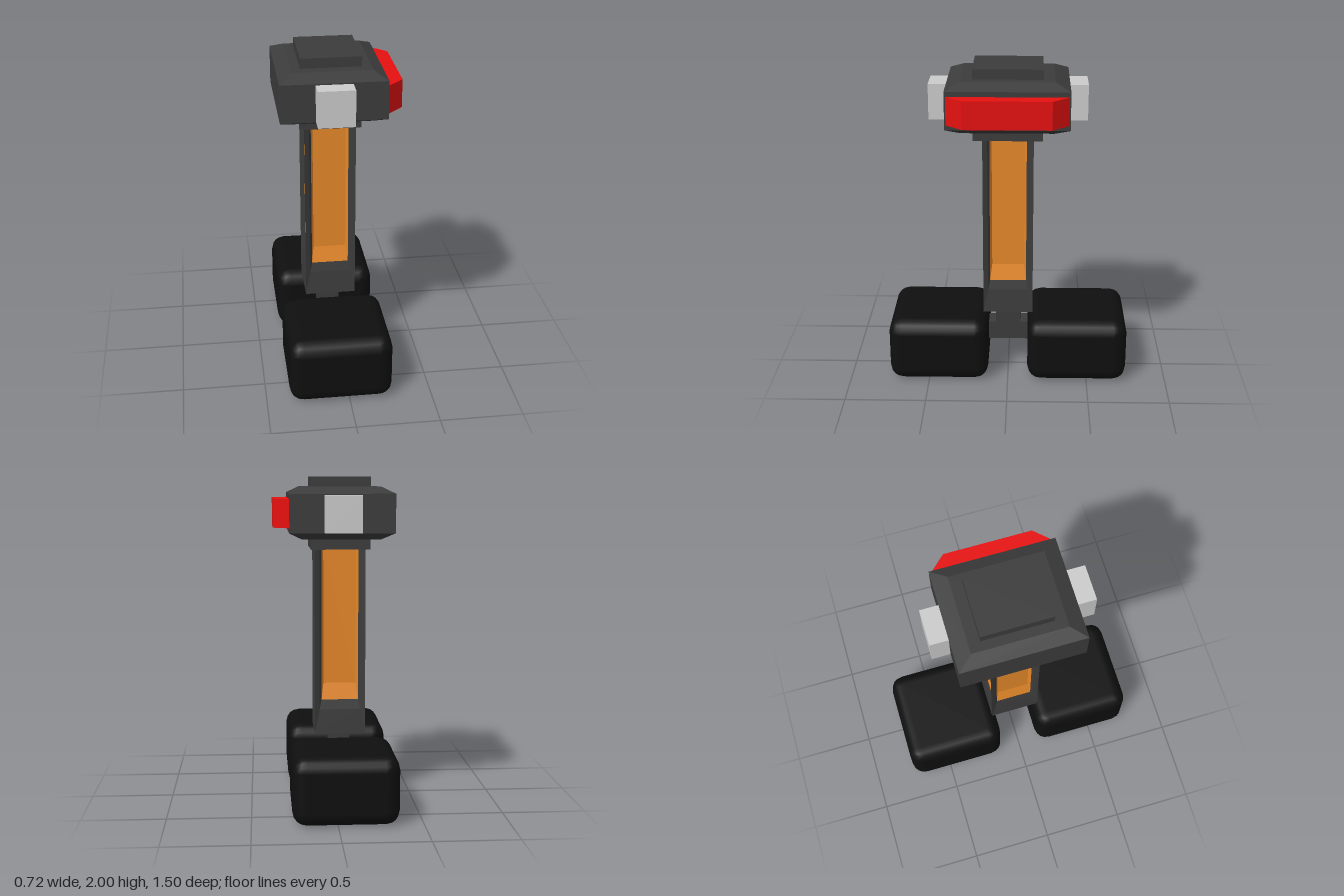
import * as THREE from 'three';
import { RoundedBoxGeometry } from 'three/addons/geometries/RoundedBoxGeometry.js';

const mat = (color, flat = true) => new THREE.MeshStandardMaterial({ color, flatShading: flat });

export function createModel() {
  const root = new THREE.Group();
  const body = new THREE.Group();
  body.name = 'body';
  body.position.x = -0.048;
  root.add(body);

  const dark = mat(0x3c3c3c), orange = mat(0xe6882a), red = mat(0xe61010);
  const grey = mat(0xcccccc), black = mat(0x0f0f0f, false);

  const add = (name, geo, material, parent = body) => {
    const mesh = new THREE.Mesh(geo, material);
    mesh.name = name;
    parent.add(mesh);
    return mesh;
  };
  // Box given by its centre x, z, its bottom and top, and its width and depth
  const box = (name, x, z, y0, y1, w, d, material) =>
    add(name, new THREE.BoxGeometry(w, y1 - y0, d), material).position.set(x, (y0 + y1) / 2, z);

  // Quads between two U-shaped rings { w, y, z } that are open at the top
  const TOP = 1.6;
  const ring = ({ w, y, z }) => [[-w, TOP, z], [-w, y, z], [w, y, z], [w, TOP, z]];
  const quads = (list) => {
    const pos = [];
    for (const [a, b, c, d] of list) pos.push(...a, ...b, ...c, ...a, ...c, ...d);
    const geo = new THREE.BufferGeometry();
    geo.setAttribute('position', new THREE.Float32BufferAttribute(pos, 3));
    geo.computeVertexNormals();
    return geo;
  };
  const strip = (outer, inner) => {
    const o = ring(outer), n = ring(inner);
    return [0, 1, 2].map((i) => [o[i], o[i + 1], n[i + 1], n[i]]);
  };

  // Square post with a recessed panel on each of the four sides
  const rings = [
    { w: 0.155, y: 0.425, z: 0.155 },
    { w: 0.125, y: 0.575, z: 0.143 },
    { w: 0.113, y: 0.635, z: 0.13 },
    { w: 0.1, y: 0.735, z: 0.105 },
  ];
  const floor = ring(rings[3]);
  for (let i = 0; i < 4; i++) {
    const side = new THREE.Group();
    side.name = 'postSide';
    side.rotation.y = (i * Math.PI) / 2;
    body.add(side);
    add('postFrame', quads([...strip(rings[0], rings[1]), ...strip(rings[1], rings[2])]), dark, side);
    add('postPanel', quads([...strip(rings[2], rings[3]), [floor[0], floor[1], floor[2], floor[3]]]), orange, side);
  }
  const underside = add('postUnderside', new THREE.PlaneGeometry(0.31, 0.31), dark);
  underside.rotation.x = Math.PI / 2;
  underside.position.y = 0.425;

  // Neck and axle between the feet
  box('neck', 0, 0, 0.19, 0.43, 0.125, 0.16, dark);
  box('axle', 0, 0, 0.19, 0.31, 0.125, 0.4, dark);

  // Feet
  for (const s of [1, -1]) {
    add('foot', new RoundedBoxGeometry(0.625, 0.405, 0.625, 2, 0.085), black)
      .position.set(0, 0.2075, s * 0.437);
  }

  // Head: a box with bevelled top and bottom, built from stacked rectangles
  const levels = [[0.235, 1.63, 0.278], [0.3125, 1.67, 0.368], [0.3125, 1.9, 0.368], [0.235, 1.94, 0.278]]
    .map(([x, y, z]) => [[-x, y, z], [x, y, z], [x, y, -z], [-x, y, -z]]);
  const faces = [[...levels[0]].reverse(), levels[3]];
  for (let l = 0; l < 3; l++) {
    for (let i = 0; i < 4; i++) {
      const j = (i + 1) % 4;
      faces.push([levels[l][i], levels[l][j], levels[l + 1][j], levels[l + 1][i]]);
    }
  }
  add('head', quads(faces), dark);
  box('headCap', 0, 0, 1.93, 2, 0.358, 0.42, dark);
  box('headCollar', 0, 0, 1.565, 1.64, 0.358, 0.42, dark);

  // Grey blocks at the front and back of the head
  for (const s of [1, -1]) box('headBlock', 0, s * 0.41, 1.675, 1.893, 0.215, 0.135, grey);

  // Red tapered plate on the left side of the head
  const shape = new THREE.Shape();
  shape.moveTo(0.305, -0.368);
  shape.lineTo(0.407, -0.26);
  shape.lineTo(0.407, 0.26);
  shape.lineTo(0.305, 0.368);
  shape.closePath();
  const plate = add('sidePlate', new THREE.ExtrudeGeometry(shape, { depth: 0.17, bevelEnabled: false }), red);
  plate.rotation.x = -Math.PI / 2;
  plate.position.y = 1.7;

  return root;
}
